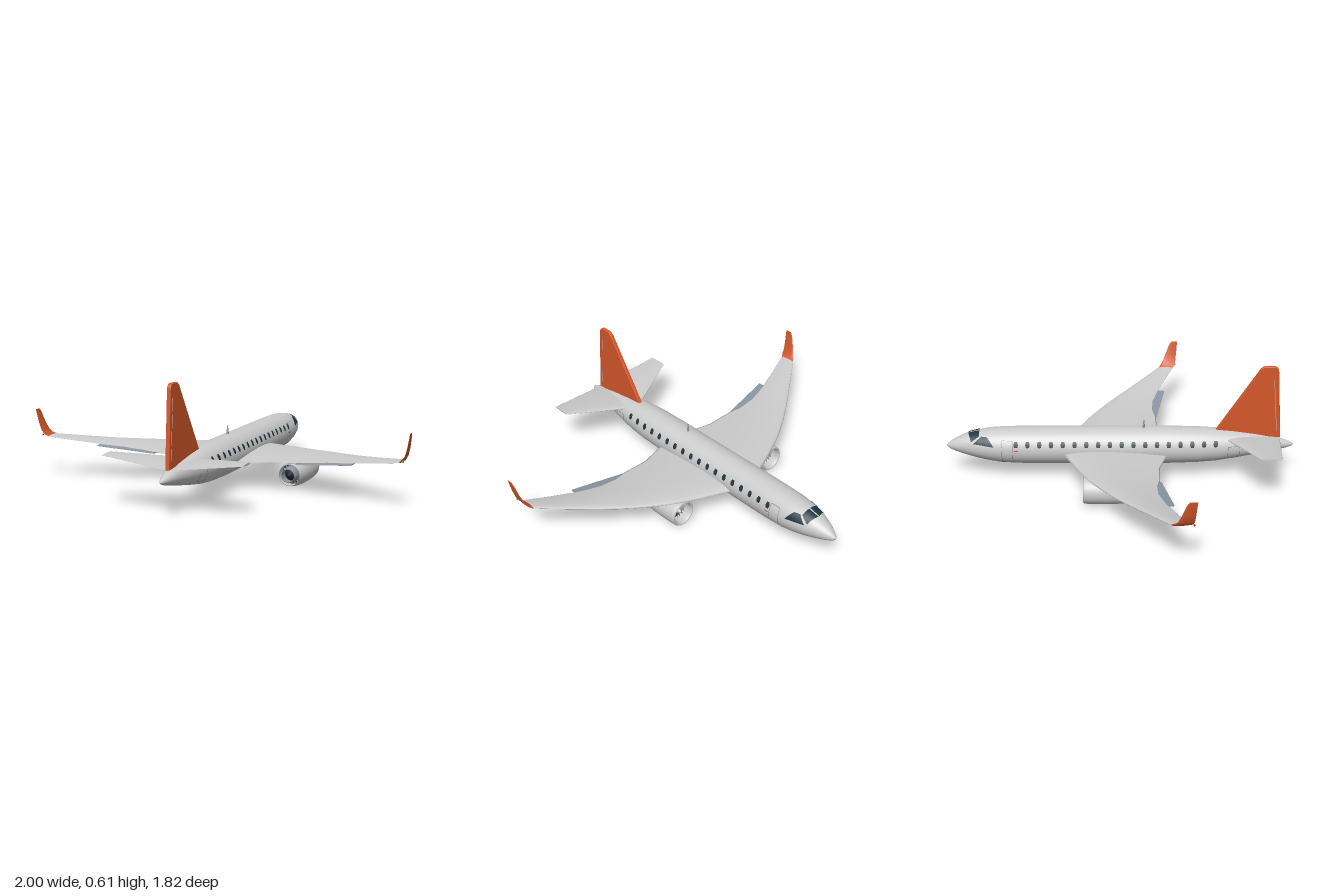
import * as THREE from 'three';
import { mergeGeometries } from 'three/addons/utils/BufferGeometryUtils.js';

const GREY = 0xcccccc, ORANGE = 0xd4572a, GLASS = 0x20343f, DARK = 0x2a2d30, STEEL = 0x8c98a4, LINE = 0x777b80;
const V = (x, y, z) => new THREE.Vector3(x, y, z);
const lerp = THREE.MathUtils.lerp;

// Fuselage stations: z, half width, top, bottom
const HULL = [
  [-0.91, 0.002, 0.169, 0.165], [-0.9, 0.014, 0.18, 0.153], [-0.88, 0.027, 0.194, 0.143], [-0.85, 0.042, 0.212, 0.131],
  [-0.79, 0.065, 0.238, 0.113], [-0.74, 0.079, 0.25, 0.1], [-0.69, 0.089, 0.258, 0.089], [-0.62, 0.096, 0.264, 0.077],
  [-0.5, 0.098, 0.267, 0.071], [0.25, 0.098, 0.267, 0.071], [0.4, 0.095, 0.264, 0.076], [0.5, 0.087, 0.258, 0.084],
  [0.6, 0.074, 0.248, 0.1], [0.7, 0.056, 0.234, 0.118], [0.8, 0.037, 0.215, 0.138], [0.87, 0.02, 0.193, 0.153],
  [0.895, 0.01, 0.182, 0.161], [0.906, 0.002, 0.173, 0.169],
];

function hullAt(z) {
  let i = 0;
  while (i < HULL.length - 2 && z > HULL[i + 1][0]) i++;
  const a = HULL[i], b = HULL[i + 1], t = (z - a[0]) / (b[0] - a[0]);
  const [w, top, bottom] = [1, 2, 3].map((k) => lerp(a[k], b[k], t));
  return { w, cy: (top + bottom) / 2, h: (top - bottom) / 2 };
}

function hullPoint(z, angle, lift = 0) {
  const { w, cy, h } = hullAt(z);
  return V((w + lift) * Math.cos(angle), cy + (h + lift) * Math.sin(angle), z);
}

// Skin through rows of points; closed rows make a capped loft
function sheet(rows, closed) {
  const n = rows[0].length, pts = rows.flat(), index = [];
  for (let i = 0; i < rows.length - 1; i++) {
    for (let j = 0; j < (closed ? n : n - 1); j++) {
      const a = i * n + j, b = i * n + (j + 1) % n;
      index.push(a, b, a + n, b, b + n, a + n);
    }
  }
  if (closed) {
    [rows[0], rows.at(-1)].forEach((ring, end) => {
      const base = pts.length;
      pts.push(...ring.map((p) => p.clone()));
      for (let j = 1; j < n - 1; j++) {
        index.push(base, ...(end ? [base + j, base + j + 1] : [base + j + 1, base + j]));
      }
    });
  }
  const g = new THREE.BufferGeometry().setFromPoints(pts);
  g.setIndex(index);
  g.computeVertexNormals();
  return g;
}

// Same geometry on the -x side, with winding corrected
function mirrored(geo) {
  const g = geo.clone(), ix = g.index.array;
  g.scale(-1, 1, 1);
  for (let i = 0; i < ix.length; i += 3) [ix[i], ix[i + 1]] = [ix[i + 1], ix[i]];
  g.computeVertexNormals();
  return g;
}

// Aerofoil loft; stations: x, y, leading z, trailing z, thickness, tilt
function aerofoil(stations) {
  return sheet(stations.map(([x, y, z0, z1, t, tilt = 0]) =>
    Array.from({ length: 24 }, (_, k) => {
      const a = (k / 24) * Math.PI * 2, u = (1 + Math.sin(a)) / 2;
      const n = t / 2 * (Math.cos(a) * Math.sqrt(1 - u) * 1.3);
      return V(x - n * Math.sin(tilt), y + n * Math.cos(tilt), lerp(z0, z1, u));
    })), true);
}

// Small panel lying on the +x side of the hull
function panel(zc, yc, hw, hh, rounded) {
  const rows = [];
  for (let i = 0; i <= 6; i++) {
    const s = i / 3 - 1, z = zc + hw * s, { cy, h } = hullAt(z);
    const half = rounded ? hh * Math.pow(1 - s ** 4, 0.25) : hh;
    rows.push(Array.from({ length: 9 }, (_, j) =>
      hullPoint(z, Math.asin(THREE.MathUtils.clamp((yc + half * (j / 4 - 1) - cy) / h, -1, 1)), 0.0015)));
  }
  return sheet(rows);
}

// Cockpit pane from front and rear edges, each [z, degrees] low then high
function pane(f0, f1, r0, r1) {
  const rows = [];
  for (let i = 0; i <= 6; i++) {
    rows.push(Array.from({ length: 9 }, (_, j) => {
      const at = (k) => lerp(lerp(f0[k], f1[k], j / 8), lerp(r0[k], r1[k], j / 8), i / 6);
      return hullPoint(at(0), THREE.MathUtils.degToRad(at(1)), 0.0015);
    }));
  }
  return sheet(rows);
}

function add(parent, name, geo, color = GREY, side = THREE.FrontSide) {
  const mesh = new THREE.Mesh(geo, new THREE.MeshStandardMaterial({ color, side }));
  mesh.name = name;
  parent.add(mesh);
  return mesh;
}

function addPair(parent, name, geo, color) {
  add(parent, name + 'Left', geo, color);
  add(parent, name + 'Right', mirrored(geo), color);
}

function lathe(points) {
  return new THREE.LatheGeometry(points.map(([r, z]) => new THREE.Vector2(r, z)), 40).rotateX(Math.PI / 2);
}

// Ring of radial blades between two radii
function blades(count, r0, r1, z, twist) {
  return mergeGeometries(Array.from({ length: count }, (_, i) =>
    new THREE.BoxGeometry(0.002, r1 - r0, 0.012).rotateY(twist)
      .translate(0, (r0 + r1) / 2, z).rotateZ((i / count) * Math.PI * 2)));
}

function createEngine() {
  const g = new THREE.Group();
  add(g, 'nacelle', lathe([[0.056, -0.12], [0.056, -0.165], [0.059, -0.182], [0.064, -0.187], [0.069, -0.182],
    [0.071, -0.16], [0.072, -0.08], [0.071, -0.02], [0.066, 0.04], [0.056, 0.092], [0.053, 0.092], [0.055, 0.03]]));
  add(g, 'fanBackplate', new THREE.CircleGeometry(0.057, 40).translate(0, 0, -0.125), DARK, THREE.DoubleSide);
  add(g, 'fanBlades', blades(18, 0.014, 0.056, -0.135, 0.7), STEEL);
  add(g, 'spinner', lathe([[0, -0.165], [0.008, -0.158], [0.016, -0.14], [0.017, -0.125]]));
  add(g, 'exhaustBackplate', new THREE.CircleGeometry(0.056, 40).translate(0, 0, 0.04), DARK, THREE.DoubleSide);
  add(g, 'exhaustVanes', blades(18, 0.034, 0.055, 0.05, 0), STEEL);
  add(g, 'coreNozzle', lathe([[0.042, 0.03], [0.042, 0.08], [0.035, 0.115], [0.032, 0.115], [0.034, 0.06]]), STEEL);
  add(g, 'exhaustPlug', lathe([[0.034, 0.06], [0.02, 0.075], [0.008, 0.1], [0, 0.108]]), DARK);
  return g;
}

export function createModel() {
  const plane = new THREE.Group();
  plane.name = 'airliner';

  // Fuselage
  add(plane, 'fuselage', sheet(HULL.map(([z]) =>
    Array.from({ length: 48 }, (_, k) => hullPoint(z, (k / 48) * Math.PI * 2))), true));

  // Cabin windows, cockpit glass, door outlines and markers
  const windows = [];
  for (let i = 0; i < 18; i++) windows.push(panel(0.493 - i * 0.0608, 0.207, 0.012, 0.015, true));
  addPair(plane, 'cabinWindows', mergeGeometries(windows), GLASS);
  addPair(plane, 'windscreen', pane([-0.775, 30], [-0.795, 87], [-0.732, 53], [-0.735, 87]), GLASS);
  addPair(plane, 'cockpitSideWindow', pane([-0.764, 22], [-0.722, 52], [-0.655, 13], [-0.69, 48]), GLASS);
  const doors = [];
  for (const [z, y, hw, hh] of [[-0.586, 0.165, 0.028, 0.06], [0.588, 0.155, 0.03, 0.034]]) {
    for (const s of [-1, 1]) doors.push(panel(z + s * hw, y, 0.001, hh), panel(z, y + s * hh, hw, 0.001));
  }
  addPair(plane, 'doorOutlines', mergeGeometries(doors), LINE);
  addPair(plane, 'doorMarker', panel(-0.54, 0.175, 0.01, 0.003), ORANGE);

  // Wings, winglets and flaps
  const tip = [0.942, 0.223, 0.227, 0.315, 0.012, 0.25];
  addPair(plane, 'wing', aerofoil([
    [0.03, 0.146, -0.32, 0.265, 0.052], [0.1, 0.147, -0.288, 0.238, 0.05], [0.24, 0.15, -0.23, 0.2, 0.044],
    [0.39, 0.157, -0.16, 0.196, 0.036], [0.46, 0.162, -0.12, 0.182, 0.032], [0.55, 0.169, -0.063, 0.187, 0.028],
    [0.62, 0.176, -0.015, 0.202, 0.025], [0.69, 0.184, 0.037, 0.221, 0.022], [0.82, 0.203, 0.135, 0.268, 0.017], tip]), GREY);
  addPair(plane, 'winglet', aerofoil([tip, [0.958, 0.234, 0.242, 0.325, 0.011, 0.7], [0.972, 0.255, 0.256, 0.33, 0.009, 1.1],
    [0.984, 0.295, 0.272, 0.334, 0.007, 1.3], [0.994, 0.345, 0.29, 0.338, 0.006, 1.4], [0.998, 0.367, 0.303, 0.34, 0.004, 1.4]]), ORANGE);
  addPair(plane, 'flap', aerofoil([[0.39, 0.15, 0.08, 0.203, 0.012], [0.69, 0.179, 0.14, 0.255, 0.01]]), STEEL);

  // Engines, pylons and wingtip lights
  for (const s of [-1, 1]) {
    const engine = createEngine();
    engine.name = s > 0 ? 'engineLeft' : 'engineRight';
    engine.position.set(s * 0.325, 0.072, 0);
    plane.add(engine);
    add(plane, 'pylon', new THREE.BoxGeometry(0.016, 0.035, 0.2).translate(s * 0.325, 0.14, -0.03));
    add(plane, 'wingtipLight', new THREE.SphereGeometry(0.005, 12, 8).translate(s * 0.965, 0.234, 0.328),
      s > 0 ? 0x2fa050 : 0xd02840);
  }

  // Tailplane
  addPair(plane, 'tailplane', aerofoil([[0, 0.212, 0.52, 0.832, 0.026], [0.07, 0.22, 0.56, 0.826, 0.024],
    [0.355, 0.252, 0.7, 0.8, 0.01]]), GREY);

  // Fin with rounded top corners, and rudder hinge lines
  const fin = new THREE.Shape();
  fin.moveTo(0.495, 0.245);
  fin.lineTo(0.715, 0.585);
  fin.quadraticCurveTo(0.727, 0.603, 0.745, 0.604);
  fin.lineTo(0.782, 0.604);
  fin.quadraticCurveTo(0.803, 0.603, 0.805, 0.58);
  fin.lineTo(0.831, 0.217);
  fin.lineTo(0.6, 0.217);
  fin.closePath();
  add(plane, 'fin', new THREE.ExtrudeGeometry(fin, {
    depth: 0.012, bevelThickness: 0.004, bevelSize: 0.004, bevelSegments: 3, curveSegments: 8,
  }).translate(0, 0, -0.006).rotateY(-Math.PI / 2), ORANGE);
  for (const x of [-0.01, 0.01]) {
    add(plane, 'rudderHingeLine', new THREE.TubeGeometry(
      new THREE.LineCurve3(V(x, 0.25, 0.813), V(x, 0.54, 0.787)), 1, 0.0015, 6));
  }

  // Roof antenna
  add(plane, 'antenna', new THREE.CylinderGeometry(0.0015, 0.008, 0.05, 10).translate(0, 0.286, 0.122), STEEL);
  return plane;
}
